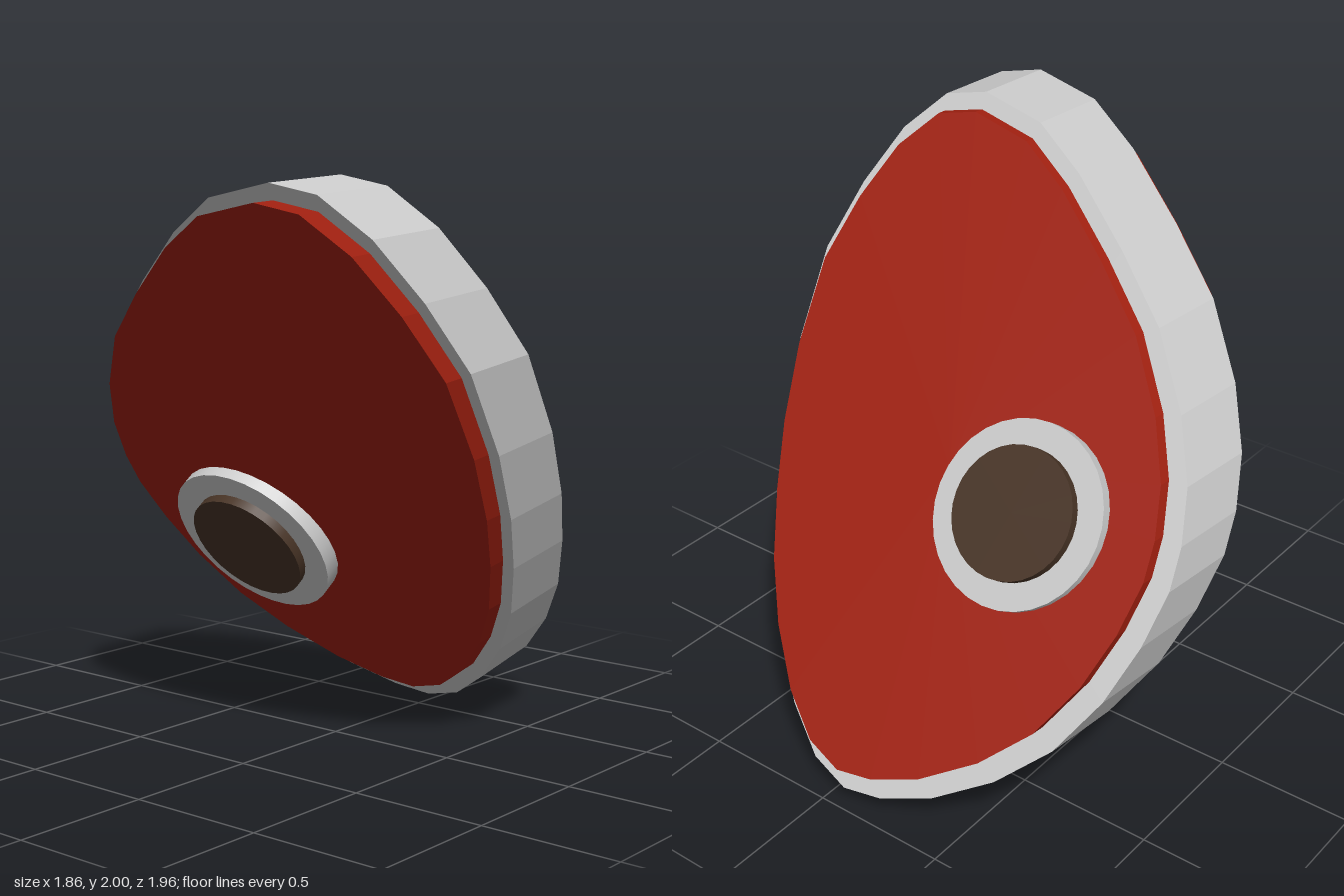
import * as THREE from 'three';

// Outline of the slab, clockwise as seen from the front, starting at the bottom
const OUTLINE = [
  [-0.05, 0], [-0.2, 0.02], [-0.39, 0.085], [-0.59, 0.2], [-0.75, 0.34], [-0.855, 0.51],
  [-0.91, 0.68], [-0.93, 0.84], [-0.91, 0.96], [-0.85, 1.11], [-0.73, 1.28], [-0.53, 1.48],
  [-0.28, 1.65], [0, 1.82], [0.235, 1.93], [0.51, 1.975], [0.675, 1.94], [0.8, 1.81],
  [0.88, 1.62], [0.925, 1.4], [0.88, 1.12], [0.8, 0.88], [0.706, 0.68], [0.59, 0.48],
  [0.45, 0.305], [0.28, 0.146], [0.11, 0.04],
];

// Scaled and shifted outline laid on the leaning plane z = z0 + slope * y
function ring({ scale, dx, dy, z0, slope }) {
  return OUTLINE.map(([px, py]) => {
    const y = py * scale + dy;
    return new THREE.Vector3(px * scale + dx, y, z0 + slope * y);
  });
}

// Closed flat-shaded solid between a front ring and a back ring
function slab(name, color, frontSpec, backSpec) {
  const f = ring(frontSpec), b = ring(backSpec), n = f.length;
  const middle = (pts) =>
    pts.reduce((sum, p) => sum.add(p), new THREE.Vector3()).divideScalar(n);
  const fc = middle(f), bc = middle(b);
  const corners = [];
  for (let i = 0; i < n; i++) {
    const j = (i + 1) % n;
    corners.push(fc, f[j], f[i]); // front face
    corners.push(bc, b[i], b[j]); // back face
    corners.push(f[i], f[j], b[i], f[j], b[j], b[i]); // rim
  }
  const geometry = new THREE.BufferGeometry().setFromPoints(corners);
  geometry.computeVertexNormals();
  const mesh = new THREE.Mesh(geometry,
    new THREE.MeshStandardMaterial({ color, flatShading: true }));
  mesh.name = name;
  return mesh;
}

// Round piece running through the slab
function plug(name, color, radius, length) {
  const mesh = new THREE.Mesh(
    new THREE.CylinderGeometry(radius, radius, length, 32),
    new THREE.MeshStandardMaterial({ color }));
  mesh.name = name;
  mesh.rotation.x = -0.952;
  mesh.position.set(-0.343, 0.82, -0.14);
  return mesh;
}

export function createModel() {
  const group = new THREE.Group();
  group.name = 'steak';

  // Pale rim of fat
  group.add(slab('fatRim', 0xcccccc,
    { scale: 1, dx: 0, dy: 0, z0: -0.63, slope: 0.79 },
    { scale: 0.985, dx: -0.018, dy: 0.055, z0: -1.005, slope: 0.783 }));

  // Red meat, smaller in outline but thicker, standing proud on both faces
  group.add(slab('meat', 0xa02010,
    { scale: 0.94, dx: 0.019, dy: 0.06, z0: -0.548, slope: 0.8 },
    { scale: 0.922, dx: 0, dy: 0.13, z0: -1.074, slope: 0.797 }));

  // Bone and its marrow
  group.add(plug('bone', 0xcccccc, 0.328, 0.513));
  group.add(plug('marrow', 0x483426, 0.232, 0.585));

  return group;
}
